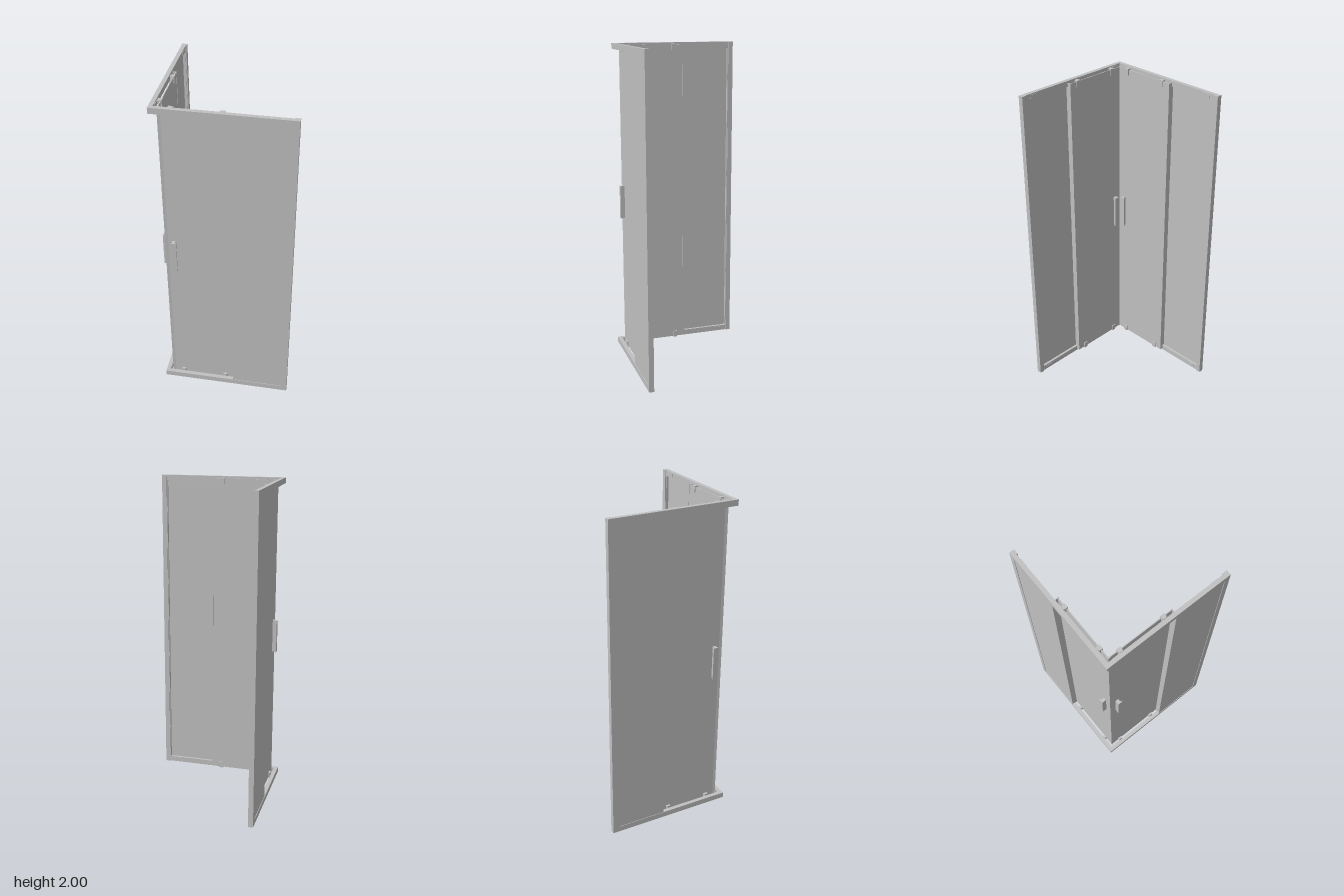
import * as THREE from 'three';

const metal = new THREE.MeshStandardMaterial({ color: 0xc0c0c0 });
metal.name = 'satin grey';

const H = 2;          // overall height
const RAIL = 0.035;   // rail height

function add(group, name, geometry) {
  const mesh = new THREE.Mesh(geometry, metal);
  mesh.name = name;
  group.add(mesh);
}

// Box given by its extents
function box(group, name, x0, x1, y0, y1, z0, z1) {
  const g = new THREE.BoxGeometry(x1 - x0, y1 - y0, z1 - z0);
  g.translate((x0 + x1) / 2, (y0 + y1) / 2, (z0 + z1) / 2);
  add(group, name, g);
}

// Upright prism over an outline of [x, z] points
function prism(group, name, points, y0, y1) {
  const shape = new THREE.Shape(points.map(([x, z]) => new THREE.Vector2(x, -z)));
  const g = new THREE.ExtrudeGeometry(shape, { depth: y1 - y0, bevelEnabled: false });
  g.rotateX(-Math.PI / 2);
  g.translate(0, y0, 0);
  add(group, name, g);
}

function createSide() {
  const side = new THREE.Group();

  // C-shaped frame: bottom rail, wall post and top rail with filleted inner corners
  const r = 0.01, xi = 0.366, yt = H - RAIL;
  const frame = new THREE.Shape();
  frame.moveTo(-0.37, 0);
  frame.lineTo(0.4, 0);
  frame.lineTo(0.4, H);
  frame.lineTo(-0.37, H);
  frame.lineTo(-0.37, yt);
  frame.lineTo(xi - r, yt);
  frame.quadraticCurveTo(xi, yt, xi, yt - r);
  frame.lineTo(xi, RAIL + r);
  frame.quadraticCurveTo(xi, RAIL, xi - r, RAIL);
  frame.lineTo(-0.37, RAIL);
  const frameGeometry = new THREE.ExtrudeGeometry(frame, { depth: 0.025, bevelEnabled: false, curveSegments: 4 });
  frameGeometry.translate(0, 0, 0.375);
  add(side, 'frame', frameGeometry);
  box(side, 'wallPost', 0.37, 0.4, 0, H, 0.369, 0.376);

  // Fixed panel with the upright profile on its free edge
  box(side, 'fixedPanel', 0.047, 0.37, RAIL - 0.005, yt + 0.005, 0.391, 0.397);
  box(side, 'fixedPanelProfile', 0.047, 0.051, RAIL, yt, 0.374, 0.396);
  box(side, 'fixedPanelSeal', 0.049, 0.054, 0.012, H - 0.012, 0.36, 0.375);

  // Sliding door with its edge strips
  box(side, 'slidingDoor', -0.352, 0.05, 0.012, H - 0.012, 0.353, 0.358);
  box(side, 'doorEdgeStrip', 0.049, 0.055, 0.012, H - 0.012, 0.351, 0.361);
  prism(side, 'cornerSeal', [[-0.361, 0.361], [-0.343, 0.358], [-0.343, 0.352], [-0.351, 0.351]], 0.012, H - 0.012);

  // Parts repeated at the bottom and top
  for (const top of [false, true]) {
    const span = (a, b) => (top ? [H - b, H - a] : [a, b]);
    prism(side, 'railCorner', [[-0.4, 0.4], [-0.37, 0.4], [-0.37, 0.375], [-0.375, 0.375]], ...span(0, RAIL));
    for (const x of [-0.287, -0.008]) {
      const w = 0.0135;
      prism(side, 'roller', [
        [x - w, 0.347], [x + w, 0.347], [x + w, 0.364], [x + 0.009, 0.372],
        [x - 0.009, 0.372], [x - w, 0.364],
      ], ...span(0.006, 0.046));
    }
    for (const x of [-0.322, 0.315]) {
      box(side, 'doorStop', x - 0.025, x + 0.025, ...span(0.006, 0.028), 0.372, 0.376);
    }
  }

  // Hooked grip bars on both faces of the door
  const grip = (zDoor, zLip, zEnd) => [
    [-0.318, zDoor], [-0.298, zDoor], [-0.298, zLip], [-0.289, zLip], [-0.289, zEnd], [-0.318, zEnd],
  ];
  prism(side, 'innerHandle', grip(0.354, 0.337, 0.329), 0.895, 1.105);
  prism(side, 'outerHandle', grip(0.357, 0.378, 0.386), 0.895, 1.105);
  return side;
}

export function createModel() {
  const model = new THREE.Group();
  model.name = 'cornerShowerEnclosure';

  const front = createSide();
  front.name = 'frontSide';
  model.add(front);

  // The second side is the first one turned half round about the corner diagonal
  const flip = new THREE.Group();
  flip.name = 'returnSide';
  flip.position.y = H / 2;
  flip.quaternion.setFromAxisAngle(new THREE.Vector3(1, 0, -1).normalize(), Math.PI);
  const returnSide = createSide();
  returnSide.name = 'returnPanels';
  returnSide.position.y = -H / 2;
  flip.add(returnSide);
  model.add(flip);

  return model;
}
